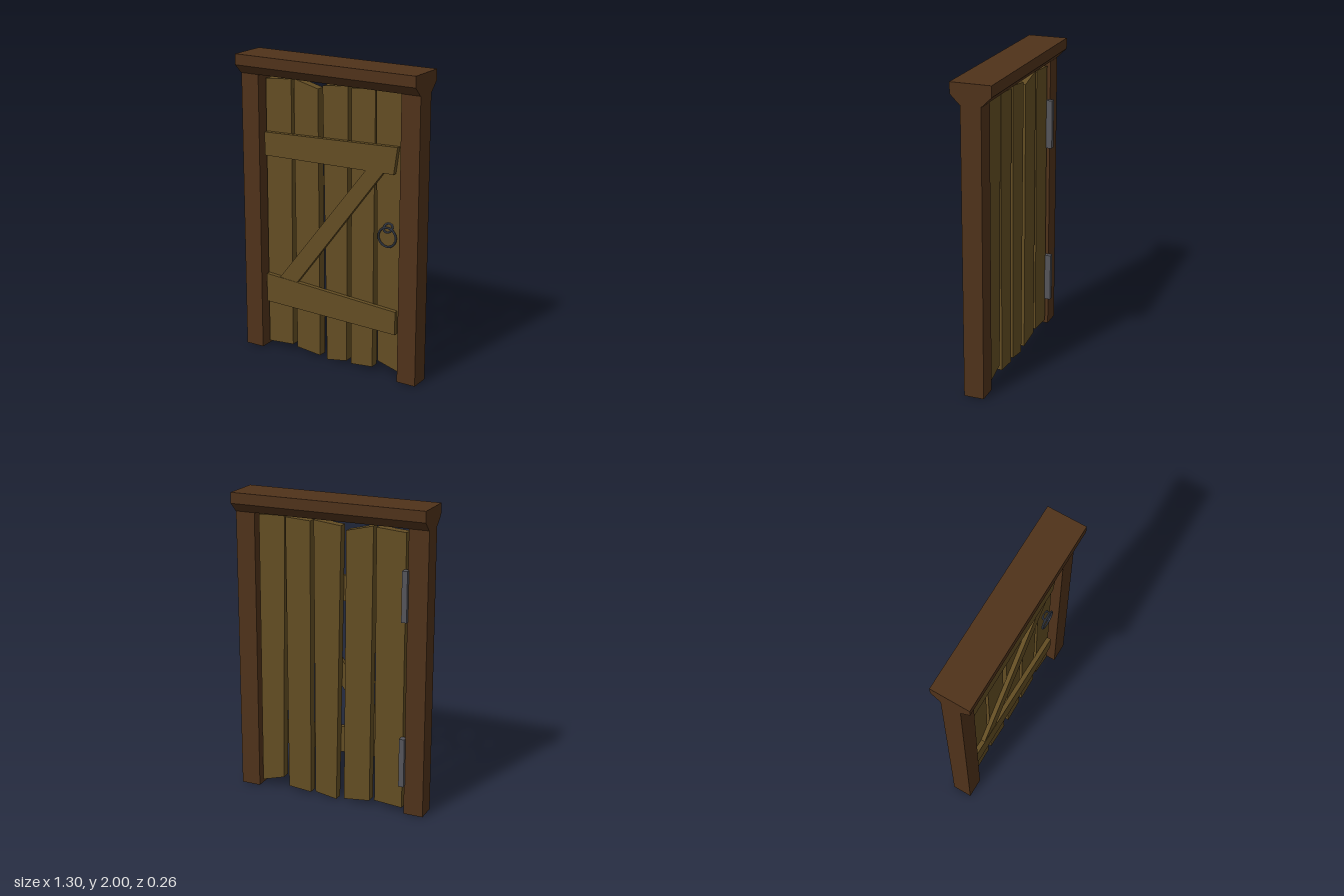
import * as THREE from 'three';

const material = (color) => new THREE.MeshStandardMaterial({ color, flatShading: true });

export function createModel() {
  const door = new THREE.Group();
  door.name = 'plankDoor';
  const frameWood = material(0x4f321a);
  const plankWood = material(0x634d23);
  const iron = material(0x4a5160);
  const hingeMetal = material(0x55555a);

  const add = (name, geometry, mat, parent = door) => {
    const mesh = new THREE.Mesh(geometry, mat);
    mesh.name = name;
    parent.add(mesh);
    return mesh;
  };
  // Extrudes an outline of [x, y] corners
  const slab = (corners, depth) => new THREE.ExtrudeGeometry(
    new THREE.Shape(corners.map(([x, y]) => new THREE.Vector2(x, y))),
    { depth, bevelEnabled: false });
  const board = (name, corners, z, depth) =>
    add(name, slab(corners, depth).translate(0, 0, z), plankWood);

  // Frame: two posts and a lintel with chamfered underside
  for (const side of [-1, 1]) {
    const post = add(side < 0 ? 'rightPost' : 'leftPost', new THREE.BoxGeometry(0.13, 1.88, 0.13), frameWood);
    post.position.set(side * 0.585, 0.94, 0);
  }
  const lintelProfile = [[-0.07, 1.87], [0.07, 1.87], [0.13, 1.93], [0.13, 2], [-0.13, 2], [-0.13, 1.93]];
  add('lintel', slab(lintelProfile, 1.3).rotateY(Math.PI / 2).translate(-0.65, 0, 0), frameWood);

  // Uneven vertical planks, corners from lower left anticlockwise
  const planks = [
    [[-0.5, 0.03], [-0.31, 0.045], [-0.305, 1.855], [-0.5, 1.84]],
    [[-0.275, 0.035], [-0.095, 0.015], [-0.105, 1.815], [-0.285, 1.86]],
    [[-0.04, 0], [0.11, 0.025], [0.115, 1.86], [-0.07, 1.84]],
    [[0.145, 0.015], [0.305, 0.03], [0.31, 1.86], [0.14, 1.85]],
    [[0.345, 0.085], [0.5, 0.04], [0.495, 1.86], [0.315, 1.868]],
  ];
  planks.forEach((corners, i) => board(`plank${i + 1}`, corners, -0.05, 0.06));

  // Cross rails and diagonal brace on the front
  board('upperRail', [[-0.495, 1.34], [0.46, 1.355], [0.485, 1.53], [-0.495, 1.495]], 0.01, 0.03);
  board('lowerRail', [[-0.495, 0.33], [0.485, 0.305], [0.485, 0.46], [-0.495, 0.525]], 0.01, 0.03);
  board('diagonalBrace', [[-0.39, 0.519], [-0.255, 0.509], [0.385, 1.354], [0.26, 1.352]], 0.01, 0.028);

  // Hinges on the back
  for (const [name, y] of [['lowerHinge', 0.358], ['upperHinge', 1.45]]) {
    add(name, new THREE.BoxGeometry(0.035, 0.325, 0.05), hingeMetal).position.set(-0.508, y, -0.065);
  }

  // Ring handle hanging from a small staple
  const handle = new THREE.Group();
  handle.name = 'ringHandle';
  handle.position.set(0.418, 0.945, 0.035);
  door.add(handle);
  add('pullRing', new THREE.TorusGeometry(0.062, 0.007, 8, 28), iron, handle);
  const staple = add('staple', new THREE.TorusGeometry(0.03, 0.007, 8, 16), iron, handle);
  staple.position.set(0, 0.058, -0.01);
  staple.rotation.x = -0.6;

  return door;
}
